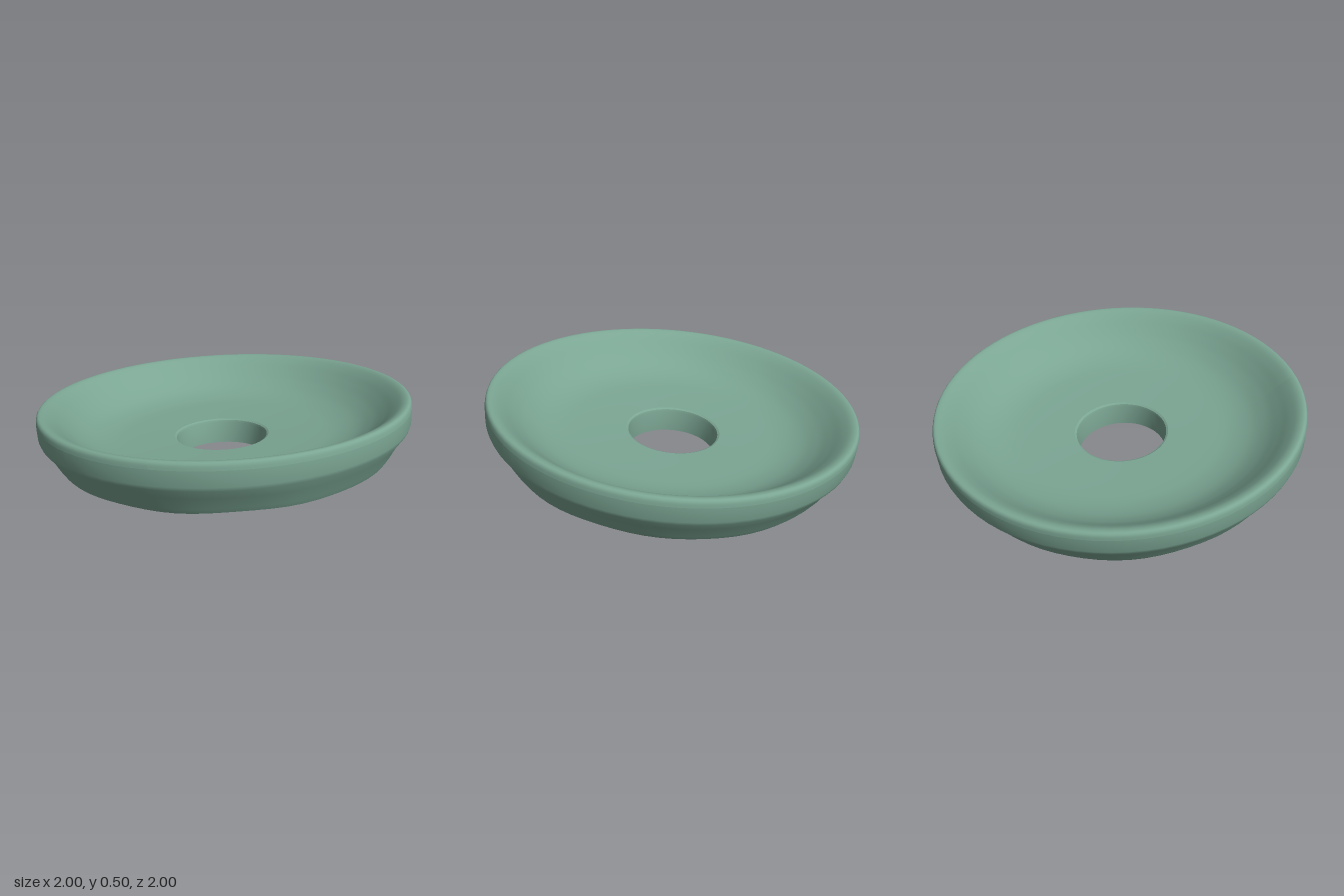
import * as THREE from 'three';
import { toCreasedNormals } from 'three/addons/utils/BufferGeometryUtils.js';

const V = (x, y) => new THREE.Vector2(x, y);

export function createModel() {
  const group = new THREE.Group();
  const celadon = new THREE.MeshStandardMaterial({ color: 0x7ba593 });
  const ring = new THREE.Group();
  ring.name = 'tiltedDish';
  group.add(ring);

  const lathe = (name, points, crease) => {
    let geometry = new THREE.LatheGeometry(points, 80);
    const p = geometry.attributes.position;
    for (let i = 0; i < p.count; i++) {
      const x = p.getX(i), y = p.getY(i), z = p.getZ(i);
      const a = Math.atan2(z, x), r = Math.hypot(x, z);
      // slight hand-worked waviness low on the flank
      const low = Math.max(0, 1 - Math.abs(y - 0.15) / 0.12) * Math.max(0, r - 0.6);
      const wave = 0.008 * low * (Math.sin(7 * a) + Math.sin(11 * a + 1));
      // the centre hole sits a touch off axis
      const off = Math.max(0, Math.min(1, (0.6 - r) / 0.3));
      p.setXYZ(i, x - 0.017 * off, y + wave, z + 0.004 * off);
    }
    if (crease) geometry = toCreasedNormals(geometry, crease);
    else geometry.computeVertexNormals();
    const mesh = new THREE.Mesh(geometry, celadon);
    mesh.name = name;
    ring.add(mesh);
  };

  // shallow conical underside, bevelled flank and upright band
  lathe('underside', [
    V(0.245, 0.046), V(0.4, 0.047), V(0.6, 0.056), V(0.68, 0.068), V(0.8, 0.102),
    V(0.905, 0.138), V(0.922, 0.165), V(0.955, 0.23), V(0.992, 0.28), V(0.999, 0.3),
    V(1.0, 0.375),
  ], 0.4);

  // narrow rounded rim and hollow dish
  lathe('dish', new THREE.SplineCurve([
    V(1.0, 0.375), V(0.995, 0.4), V(0.98, 0.411), V(0.95, 0.403), V(0.91, 0.374),
    V(0.86, 0.329), V(0.8, 0.281), V(0.72, 0.236), V(0.62, 0.208), V(0.5, 0.197),
    V(0.262, 0.188),
  ]).getPoints(50));

  // wall of the centre hole with a softened lip
  lathe('holeWall', [
    V(0.262, 0.188), V(0.251, 0.182), V(0.247, 0.17), V(0.245, 0.046),
  ], 0.7);

  // the whole dish leans back toward one corner
  ring.quaternion.setFromUnitVectors(
    new THREE.Vector3(0, 1, 0), new THREE.Vector3(-0.07, 1, -0.06).normalize());
  ring.position.set(0.026, 0.002, 0.022);
  return group;
}
